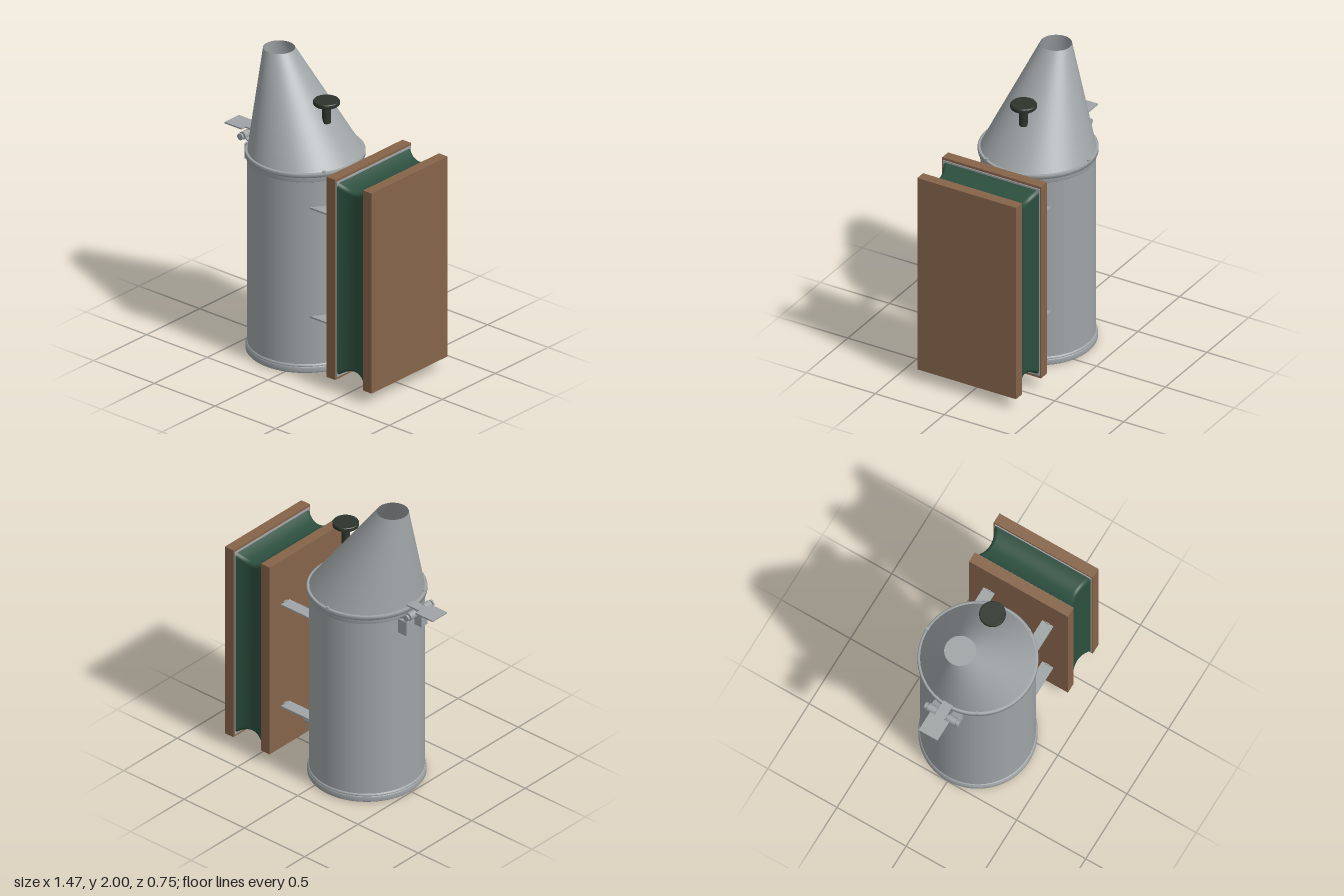
import * as THREE from 'three';

const mat = (name, color, side = THREE.FrontSide) => {
  const m = new THREE.MeshStandardMaterial({ color, side });
  m.name = name;
  return m;
};

const CX = -0.13; // axis of the can

export function createModel() {
  const model = new THREE.Group();
  model.name = 'beeSmoker';
  const steel = mat('galvanised steel', 0x9fa4a6, THREE.DoubleSide);
  const wood = mat('wood', 0x86644a);
  const leather = mat('green leather', 0x2c4f3e, THREE.DoubleSide);
  const dark = mat('dark knob', 0x2d342c);

  const add = (name, geometry, material, x = 0, y = 0, z = 0) => {
    const mesh = new THREE.Mesh(geometry, material);
    mesh.name = name;
    mesh.position.set(x, y, z);
    model.add(mesh);
    return mesh;
  };
  const box = (name, material, x0, x1, y0, y1, z0, z1) =>
    add(name, new THREE.BoxGeometry(x1 - x0, y1 - y0, z1 - z0), material,
      (x0 + x1) / 2, (y0 + y1) / 2, (z0 + z1) / 2);
  const cyl = (name, material, r, h, x, y, z, axis = 'y', sides = 24) => {
    const g = new THREE.CylinderGeometry(r, r, h, sides);
    if (axis === 'x') g.rotateZ(Math.PI / 2);
    if (axis === 'z') g.rotateX(Math.PI / 2);
    return add(name, g, material, x, y, z);
  };
  const band = (name, profile) => add(name,
    new THREE.LatheGeometry(profile.map(([r, y]) => new THREE.Vector2(r, y)), 64), steel, CX);

  // Fire can with its rolled base
  cyl('canBody', steel, 0.36, 1.335, CX, 0.672, 0, 'y', 64);
  band('baseBand', [[0.36, 0], [0.365, 0.003], [0.371, 0.01], [0.371, 0.038], [0.366, 0.044]]);
  band('baseBead', [[0.366, 0.044], [0.368, 0.048], [0.366, 0.056], [0.36, 0.06]]);

  // Lid skirt and flange
  band('lidSkirt', [[0.36, 1.308], [0.366, 1.312], [0.368, 1.345]]);
  band('lidFlange', [[0.36, 1.345], [0.376, 1.345], [0.376, 1.368], [0.37, 1.371], [0.352, 1.371]]);

  // Leaning open cone
  const cone = new THREE.CylinderGeometry(0.1, 0.36, 0.632, 64, 1, true);
  cone.translate(0, 0.316, 0);
  cone.applyMatrix4(new THREE.Matrix4().set(
    1, -0.215 / 0.632, 0, 0, 0, 1, 0, 0, 0, 0, 1, 0, 0, 0, 0, 1));
  add('coneSpout', cone, steel, CX, 1.368);

  // Rivets on the flange
  for (let i = 0; i < 3; i++) {
    const a = Math.PI / 6 + i * Math.PI * 2 / 3;
    cyl('lidRivet', steel, 0.011, 0.02, CX + 0.365 * Math.cos(a), 1.37, 0.365 * Math.sin(a), 'y', 12);
  }

  // Lid knob
  cyl('knobStem', dark, 0.027, 0.13, 0.046, 1.67, 0);
  const knob = [[0, 1.73], [0.078, 1.73], [0.083, 1.735], [0.083, 1.755], [0.079, 1.76], [0, 1.76]];
  for (let i = 0; i < knob.length - 1; i++) {
    add('knobDisc', new THREE.LatheGeometry(
      [knob[i], knob[i + 1]].map(([r, y]) => new THREE.Vector2(r, y)), 40), dark, 0.046);
  }

  // Hinge and thumb plate
  box('thumbPlate', steel, -0.735, -0.595, 1.38, 1.39, -0.068, 0.068);
  box('thumbPlateNeck', steel, -0.595, -0.47, 1.38, 1.39, -0.033, 0.033);
  cyl('hingePin', steel, 0.011, 0.23, -0.561, 1.36, 0, 'z', 16);
  cyl('hingeCentreBarrel', steel, 0.022, 0.066, -0.561, 1.36, 0, 'z');
  for (const s of [-1, 1]) {
    cyl('hingeBarrel', steel, 0.026, 0.056, -0.561, 1.36, s * 0.071, 'z');
    cyl('hingePinHead', steel, 0.022, 0.014, -0.561, 1.36, s * 0.116, 'z');
    const z0 = s > 0 ? 0.042 : -0.097;
    box('hingeBlock', steel, -0.545, -0.47, 1.21, 1.31, z0, z0 + 0.055);
    const arm = box('hingeArm', steel, -0.55, -0.49, 1.333, 1.343, z0, z0 + 0.055);
    arm.rotation.z = -0.5;
  }

  // Brackets and air tube between can and bellows
  for (const y of [0.385, 1.132]) {
    for (const s of [-1, 1]) {
      const z = s * 0.212;
      box('bracket', steel, 0.12, 0.36, y - 0.006, y + 0.006, z - 0.04, z + 0.04);
      box('bracketFoot', steel, 0.354, 0.361, y - 0.016, y + 0.016, z - 0.016, z + 0.016);
    }
  }
  cyl('airTube', steel, 0.033, 0.18, 0.28, 0.183, 0, 'x');

  // Bellows boards with thin edge plates
  box('innerBoard', wood, 0.36, 0.43, 0.083, 1.457, -0.358, 0.358);
  box('outerBoard', wood, 0.66, 0.73, 0.083, 1.457, -0.358, 0.358);
  box('innerEdgePlate', steel, 0.43, 0.436, 0.1, 1.44, -0.349, 0.349);
  box('outerEdgePlate', steel, 0.654, 0.66, 0.1, 1.44, -0.349, 0.349);
  add('bellowsSkin', bellows(), leather, 0.545, 0.77);
  return model;
}

// Rounded rectangles, drawn in towards the middle of the bellows
function bellows() {
  const rings = 16, cs = 5, n = 4 * cs, pos = [], index = [];
  for (let j = 0; j <= rings; j++) {
    const t = j / rings * 2 - 1;
    const pinch = 0.042 * (1 - t * t);
    const hy = 0.66 - pinch, hz = 0.348 - pinch * 0.75, r = 0.025;
    for (let k = 0; k < 4; k++) {
      const sy = k === 0 || k === 3 ? 1 : -1, sz = k < 2 ? 1 : -1;
      for (let i = 0; i < cs; i++) {
        const a = (k + i / (cs - 1)) * Math.PI / 2;
        pos.push(t * 0.112, sy * (hy - r) + r * Math.cos(a), sz * (hz - r) + r * Math.sin(a));
      }
    }
  }
  for (let j = 0; j < rings; j++) {
    for (let i = 0; i < n; i++) {
      const a = j * n + i, b = j * n + (i + 1) % n;
      index.push(a, b, a + n, b, b + n, a + n);
    }
  }
  const g = new THREE.BufferGeometry();
  g.setAttribute('position', new THREE.Float32BufferAttribute(pos, 3));
  g.setIndex(index);
  g.computeVertexNormals();
  return g;
}
